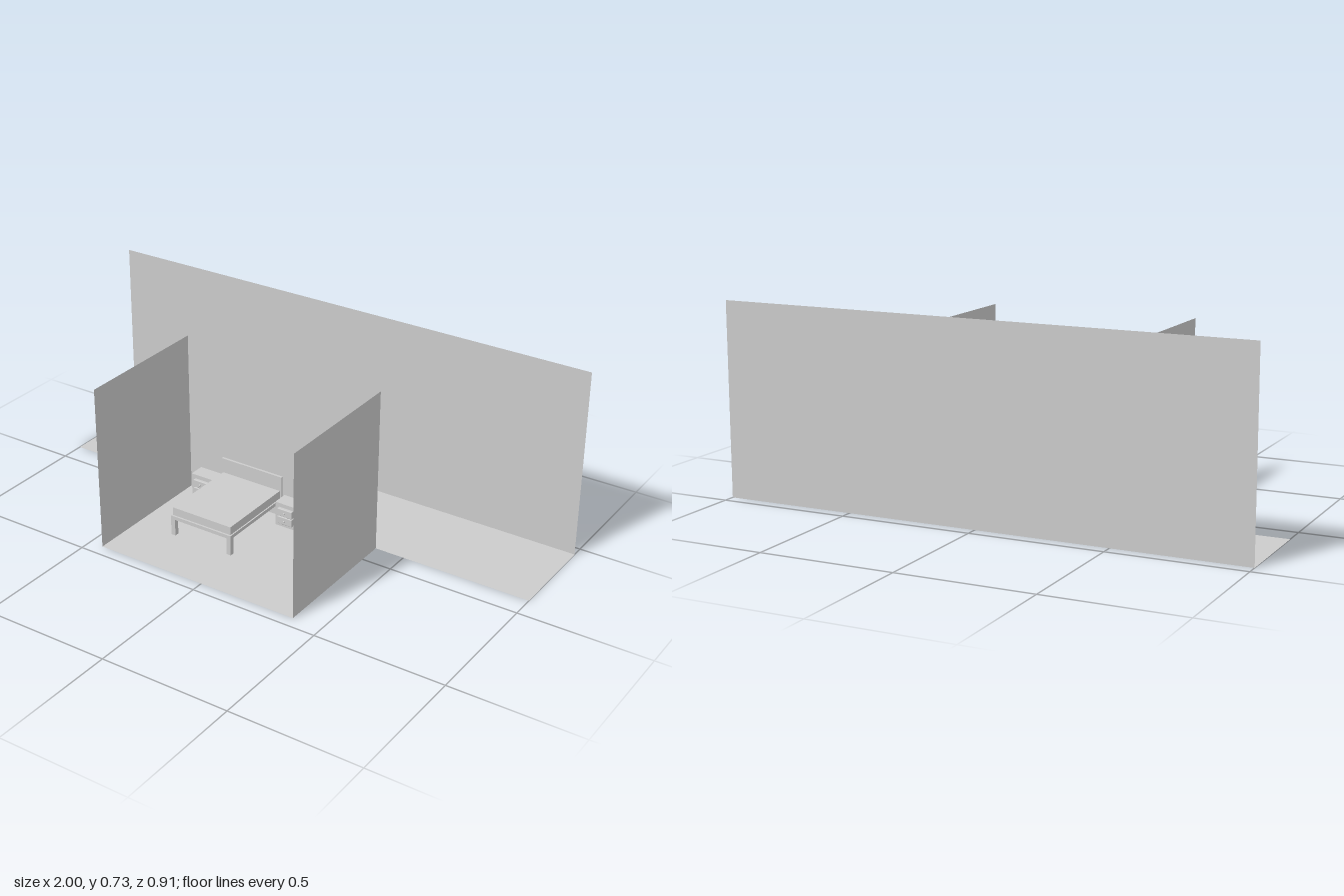
import * as THREE from 'three';
import { RoundedBoxGeometry } from 'three/addons/geometries/RoundedBoxGeometry.js';

const solid = new THREE.MeshStandardMaterial({ color: 0xcccccc });
const thin = new THREE.MeshStandardMaterial({ color: 0xcccccc, side: THREE.DoubleSide });

function add(parent, name, geometry, material = solid) {
  const mesh = new THREE.Mesh(geometry, material);
  mesh.name = name;
  parent.add(mesh);
  return mesh;
}

// Box given by its two extreme corners
function box(parent, name, [x0, y0, z0], [x1, y1, z1], radius = 0) {
  const size = [x1 - x0, y1 - y0, z1 - z0];
  const geometry = radius
    ? new RoundedBoxGeometry(...size, 3, radius)
    : new THREE.BoxGeometry(...size);
  return add(parent, name, geometry)
    .position.set((x0 + x1) / 2, (y0 + y1) / 2, (z0 + z1) / 2);
}

function group(parent, name) {
  const g = new THREE.Group();
  g.name = name;
  parent.add(g);
  return g;
}

const BACK = -0.455, MID = -0.091, FRONT = 0.453;
const LEFT = 0.385, RIGHT = -0.443;

function buildShell(parent) {
  const shell = group(parent, 'roomShell');

  // T-shaped floor, drawn as (x, -z) and laid flat
  const outline = [
    [-1, BACK], [-1, MID], [RIGHT, MID], [RIGHT, FRONT],
    [LEFT, FRONT], [LEFT, MID], [1, MID], [1, BACK],
  ].map(([x, z]) => new THREE.Vector2(x, -z));
  add(shell, 'floor', new THREE.ShapeGeometry(new THREE.Shape(outline)), thin).rotation.x = -Math.PI / 2;

  // Paper-thin walls
  add(shell, 'outerBackWall', new THREE.PlaneGeometry(2, 0.727), thin).position.set(0, 0.3635, BACK);
  add(shell, 'roomBackWall', new THREE.PlaneGeometry(LEFT - RIGHT, 0.634), thin)
    .position.set((LEFT + RIGHT) / 2, 0.317, MID);
  for (const [name, x] of [['leftWall', LEFT], ['rightWall', RIGHT]]) {
    const wall = add(shell, name, new THREE.PlaneGeometry(FRONT - MID, 0.634), thin);
    wall.rotation.y = Math.PI / 2;
    wall.position.set(x, 0.317, (FRONT + MID) / 2);
  }

  // Door set behind the room's back wall
  box(shell, 'door', [0.153, 0, -0.103], [0.303, 0.293, MID - 0.0005]);
}

function buildBed(parent) {
  const bed = group(parent, 'bed');
  const x0 = -0.288, x1 = -0.022, z0 = -0.09, z1 = 0.243, leg = 0.018;
  box(bed, 'bedFrame', [x0, 0.066, z0], [x1, 0.08, z1]);
  box(bed, 'mattress', [x0 + 0.005, 0.08, z0 + 0.008], [x1 - 0.005, 0.112, z1 - 0.007]);
  box(bed, 'headboard', [x0 - 0.002, 0.066, z0], [x1 + 0.002, 0.171, z0 + 0.009]);
  for (const x of [x0, x1 - leg])
    for (const z of [z0, z1 - leg])
      box(bed, 'bedLeg', [x, 0, z], [x + leg, 0.066, z + leg]);
}

function buildNightstand(parent, name, x) {
  const stand = group(parent, name);
  stand.position.x = x;
  box(stand, 'cabinet', [-0.048, 0, -0.09], [0.048, 0.096, -0.03]);
  // Two rounded drawer fronts with knobs
  for (const y of [0.017, 0.05]) {
    box(stand, 'drawerFront', [-0.032, y, -0.031], [0.032, y + 0.031, -0.017], 0.003);
    add(stand, 'knob', new THREE.SphereGeometry(0.004, 16, 12)).position.set(0, y + 0.0155, -0.015);
  }
}

export function createModel() {
  const model = new THREE.Group();
  model.name = 'bedroom';
  buildShell(model);
  buildBed(model);
  buildNightstand(model, 'rightNightstand', -0.346);
  buildNightstand(model, 'leftNightstand', 0.036);
  return model;
}
